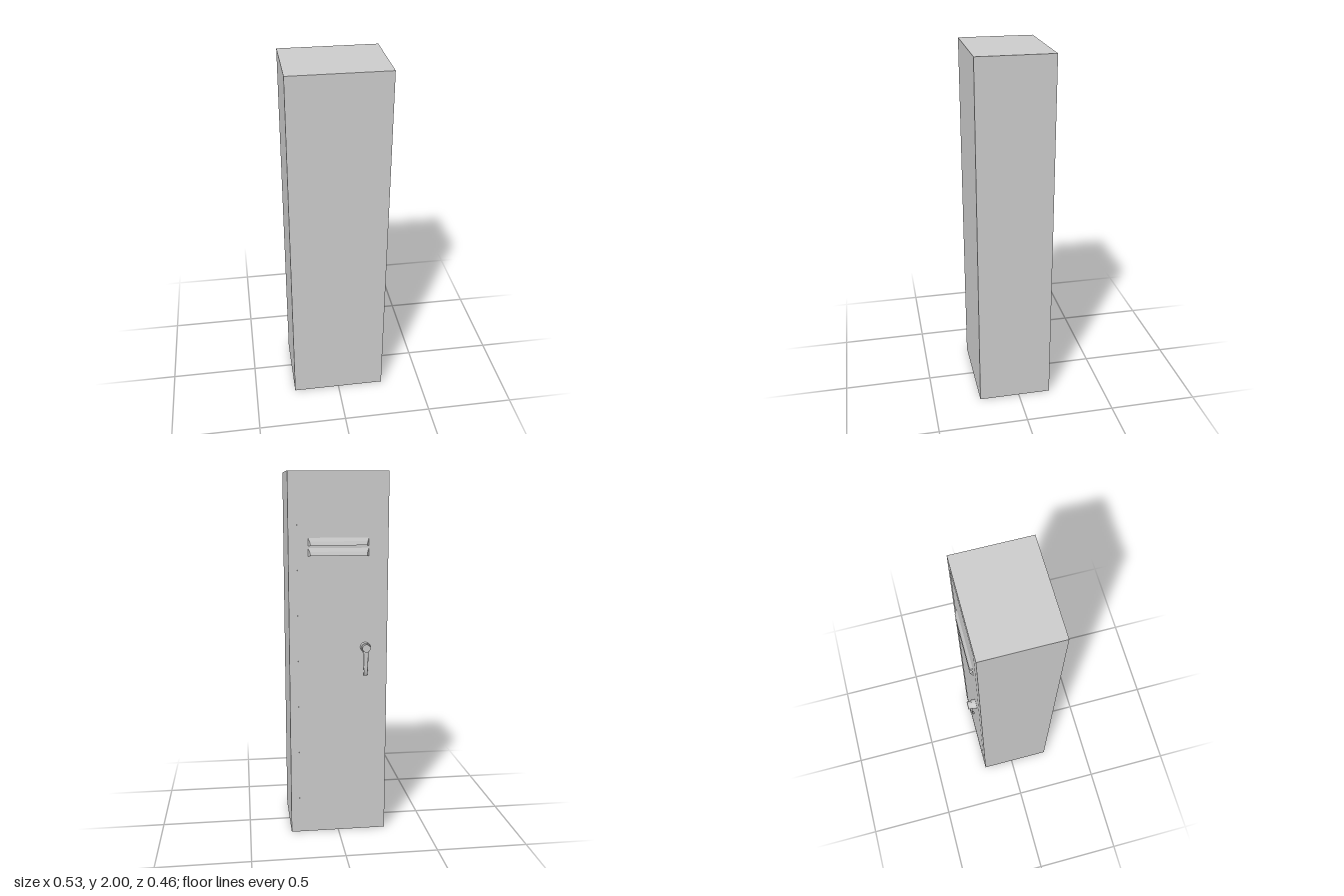
import * as THREE from 'three';
import { toCreasedNormals } from 'three/addons/utils/BufferGeometryUtils.js';

const BACK = -0.185; // plane of the door face

export function createModel() {
  const group = new THREE.Group();
  const grey = new THREE.MeshStandardMaterial({ color: 0xcccccc });
  const thin = new THREE.MeshStandardMaterial({ color: 0xcccccc, side: THREE.DoubleSide });

  const add = (name, geometry, material = grey) => {
    const mesh = new THREE.Mesh(geometry, material);
    mesh.name = name;
    group.add(mesh);
    return mesh;
  };

  // Cabinet body
  add('cabinet', new THREE.BoxGeometry(0.534, 2, 0.415)).position.set(0, 1, 0.0225);

  // Nearly flush door panel
  add('door', new THREE.BoxGeometry(0.44, 1.9, 0.004)).position.set(0, 1, BACK + 0.001);

  // Two vent hoods, open underneath, with slanted ends
  for (const top of [1.66, 1.606]) add('ventLouver', louver(), thin).position.set(0, top, BACK);

  // Stepped round handle hub
  const hub = [[0.027, 0], [0.027, 0.022], [0.025, 0.025], [0.022, 0.025], [0.022, 0.048], [0, 0.048]]
    .map(([r, h]) => new THREE.Vector2(r, h));
  const hubGeometry = new THREE.LatheGeometry(hub, 20).rotateX(-Math.PI / 2);
  add('handleHub', toCreasedNormals(hubGeometry, 0.6)).position.set(-0.146, 1.067, BACK);

  // Tapered lever whose tip curls toward the door
  add('handleLever', lever()).position.set(-0.146, 1.067, -0.216);
  return group;
}

function louver() {
  // Rows from top edge to lip: y, z, half width
  const rows = [[0, 0, 0.163], [-0.021, -0.009, 0.155], [-0.042, -0.015, 0.15]];
  const positions = [];
  const tri = (...points) => points.forEach((p) => positions.push(...p));
  const footLeft = [0.163, -0.046, 0];
  const footRight = [-0.163, -0.046, 0];
  for (let i = 0; i < rows.length - 1; i++) {
    const [y0, z0, w0] = rows[i];
    const [y1, z1, w1] = rows[i + 1];
    const a = [w0, y0, z0], b = [w1, y1, z1], c = [-w1, y1, z1], d = [-w0, y0, z0];
    tri(a, b, c);
    tri(a, c, d);
    tri(a, footLeft, b);
    tri(d, c, footRight);
  }
  const geometry = new THREE.BufferGeometry();
  geometry.setAttribute('position', new THREE.Float32BufferAttribute(positions, 3));
  geometry.computeVertexNormals();
  return geometry;
}

function lever() {
  const length = 0.155;
  const geometry = new THREE.CylinderGeometry(1, 1, length, 12, 14).translate(0, -length / 2, 0);
  const p = geometry.attributes.position;
  for (let i = 0; i < p.count; i++) {
    const t = -p.getY(i) / length;
    const curl = Math.max(0, (t - 0.75) / 0.25) ** 2 * 0.01;
    const halfWidth = 0.016 - 0.006 * t;
    const halfDepth = 0.009 - 0.003 * t;
    p.setXYZ(i, p.getX(i) * halfWidth, p.getY(i), p.getZ(i) * halfDepth + curl);
  }
  return toCreasedNormals(geometry, 0.9);
}
